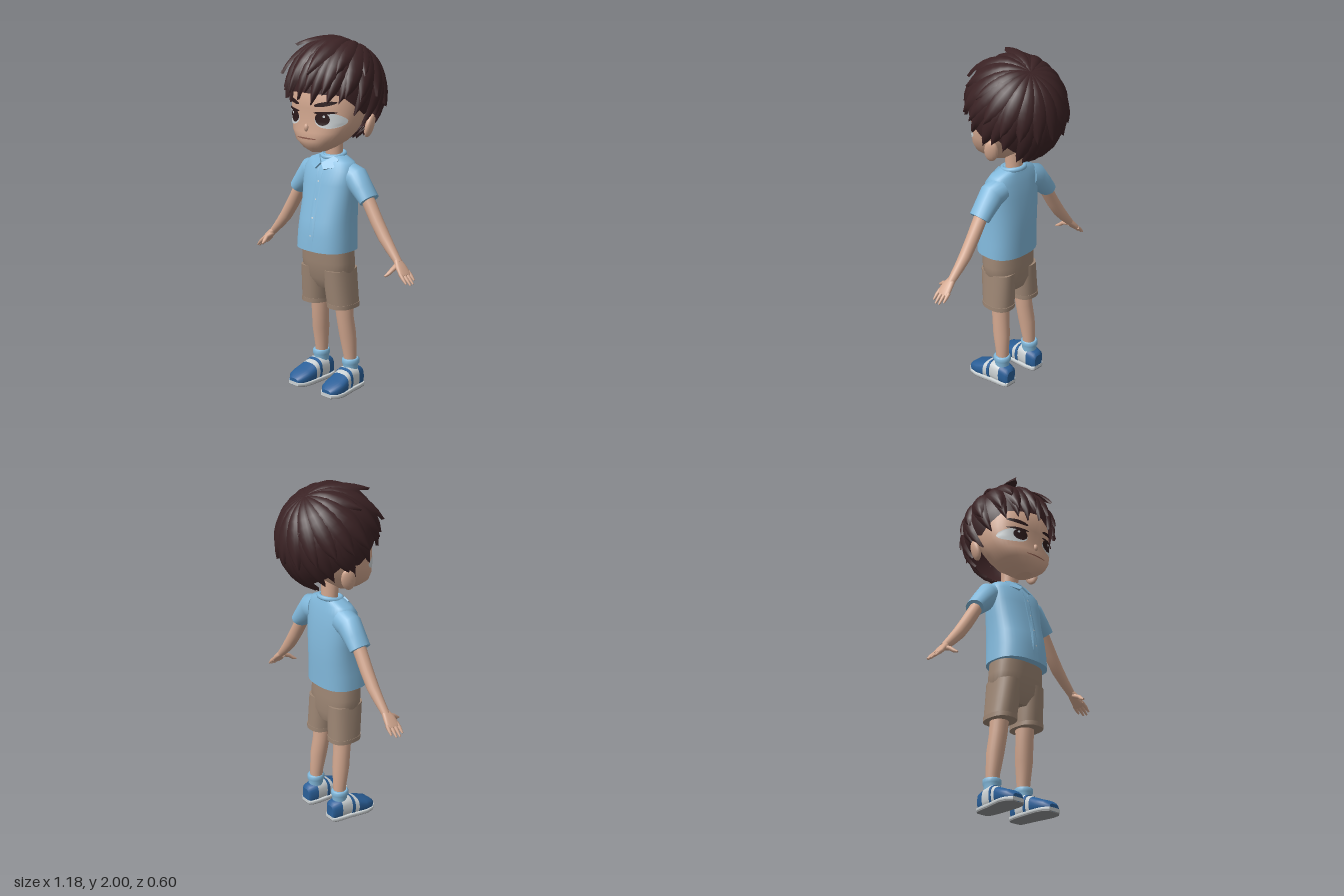
import * as THREE from 'three';

const mat = (name, color, side = THREE.FrontSide) => {
  const m = new THREE.MeshStandardMaterial({ color, side });
  m.name = name;
  return m;
};
const V = (x, y, z) => new THREE.Vector3(x, y, z);
const X = V(1, 0, 0), Y = V(0, 1, 0), Z = V(0, 0, 1);

function geometry(pos, idx) {
  const g = new THREE.BufferGeometry();
  g.setAttribute('position', new THREE.Float32BufferAttribute(pos, 3));
  g.setIndex(idx);
  g.computeVertexNormals();
  return g;
}

// Skin through rounded sections; row = [x, y, z, radius along ref, radius across]
function loft(rows, { dir = null, ref = Z, n = 2, seg = 20 } = {}) {
  const pos = [], idx = [], last = rows.length - 1;
  const pt = i => V(...rows[i].slice(0, 3));
  const sp = (c) => Math.sign(c) * Math.abs(c) ** (2 / n);
  const ring = i => {
    const d = dir ? dir.clone() : pt(Math.min(i + 1, last)).sub(pt(Math.max(i - 1, 0))).normalize();
    const u = ref.clone().addScaledVector(d, -ref.dot(d)).normalize();
    const v = d.clone().cross(u);
    for (let j = 0; j < seg; j++) {
      const a = j / seg * Math.PI * 2;
      pos.push(...pt(i).addScaledVector(u, sp(Math.cos(a)) * rows[i][3]).addScaledVector(v, sp(Math.sin(a)) * rows[i][4]));
    }
  };
  rows.forEach((_, i) => ring(i));
  for (let i = 0; i < last; i++) for (let j = 0; j < seg; j++) {
    const a = i * seg + j, b = i * seg + (j + 1) % seg;
    idx.push(a, b, b + seg, a, b + seg, a + seg);
  }
  for (const i of [0, last]) { // end caps
    const s = pos.length / 3;
    ring(i);
    pos.push(...pt(i));
    for (let j = 0; j < seg; j++) {
      const a = s + j, b = s + (j + 1) % seg;
      i ? idx.push(s + seg, a, b) : idx.push(s + seg, b, a);
    }
  }
  return geometry(pos, idx);
}

// Level section from half width, front z and back z
const level = ([y, hw, zf, zb], x = 0) => [x, y, (zf + zb) / 2, (zf - zb) / 2, hw];

// Front surface depth of an upright loft
function frontZ(rows, n, x, y) {
  let i = 0;
  while (i < rows.length - 2 && rows[i + 1][1] < y) i++;
  const t = (y - rows[i][1]) / (rows[i + 1][1] - rows[i][1]);
  const [, , c, rz, rx] = rows[i].map((a, k) => a + (rows[i + 1][k] - a) * t);
  return c + rz * Math.max(0, 1 - Math.min(1, Math.abs(x / rx)) ** n) ** (1 / n);
}

// Thin painted oval (or rounded box with a high power) lying on a loft's front
function patch(rows, n, cx, cy, hw, hh, tilt, off, power = 2) {
  const pos = [], idx = [], R = 6, S = 28;
  for (let r = 0; r <= R; r++) for (let j = 0; j < S; j++) {
    const a = j / S * Math.PI * 2, c = Math.cos(a), s = Math.sin(a);
    const px = Math.sign(c) * Math.abs(c) ** (2 / power) * hw * r / R, py = Math.sign(s) * Math.abs(s) ** (2 / power) * hh * r / R;
    const x = cx + px * Math.cos(tilt) - py * Math.sin(tilt), y = cy + px * Math.sin(tilt) + py * Math.cos(tilt);
    const z = frontZ(rows, n, x, y), e = 0.004;
    const nrm = V((frontZ(rows, n, x - e, y) - frontZ(rows, n, x + e, y)) / (2 * e), 0, 1).normalize();
    pos.push(...V(x, y, z).addScaledVector(nrm, off));
    if (r < R) {
      const p = r * S + j, q = r * S + (j + 1) % S;
      idx.push(p, p + S, q + S, p, q + S, q);
    }
  }
  return geometry(pos, idx);
}

// Hair volume: unit directions scaled onto an ellipsoid round the skull
const onHair = (d, r) => [d.x * 0.262 * r, 1.7 + d.y * 0.288 * r, -0.02 + d.z * 0.278 * r];
const hairDir = (deg, y) => {
  const a = deg * Math.PI / 180, h = Math.sqrt(1 - y * y);
  return V(Math.sin(a) * h, y, Math.cos(a) * h);
};
const crown = V(0.11, 0.87, -0.48).normalize();
const HAIRLINE = [[0, -0.05], [50, -0.08], [68, -0.3], [84, -0.5], [102, -0.35], [125, -0.68], [150, -0.86], [180, -0.92]];
function hairline(deg) {
  const d = Math.abs(((deg + 540) % 360) - 180);
  let i = 0;
  while (i < HAIRLINE.length - 2 && HAIRLINE[i + 1][0] < d) i++;
  const [a, p] = HAIRLINE[i], [b, q] = HAIRLINE[i + 1];
  return p + (q - p) * (d - a) / (b - a);
}

// One leaf-shaped lock swept from the crown to a pointed tip
function lock(deg, tipY, width, base, flare) {
  const tip = hairDir(deg, tipY), ang = crown.angleTo(tip), pos = [], idx = [], N = 10, M = 6;
  const axis = crown.clone().cross(tip).normalize();
  for (let i = 0; i <= N; i++) {
    const t = i / N, d = crown.clone().applyAxisAngle(axis, ang * t);
    const w = width * (1 - t ** 3) ** 0.8 * (0.12 + 0.88 * Math.min(1, t * 1.8));
    for (let j = 0; j <= M; j++) {
      const k = j / M * 2 - 1;
      const p = d.clone().addScaledVector(axis, k * w).normalize();
      pos.push(...onHair(p, base + 0.06 * (1 - k * k) * Math.min(1, t * 3) - 0.02 + flare * t ** 3));
      if (i < N && j < M) {
        const a = i * (M + 1) + j, b = a + M + 1;
        idx.push(a, b, b + 1, a, b + 1, a + 1);
      }
    }
  }
  return geometry(pos, idx);
}

function hairCap() {
  const pos = [], idx = [], S = 48, R = 12;
  for (let i = 0; i <= R; i++) for (let j = 0; j < S; j++) {
    const deg = j / S * 360, end = Math.acos(Math.min(0.9, hairline(deg) + 0.12));
    pos.push(...onHair(hairDir(deg, Math.cos(end * i / R)), 0.965));
    if (i < R) {
      const a = i * S + j, b = i * S + (j + 1) % S;
      idx.push(a, a + S, b + S, a, b + S, b);
    }
  }
  return geometry(pos, idx);
}

export function createModel() {
  const root = new THREE.Group();
  root.name = 'boy';
  const skin = mat('skin', 0xd2a78f), hair = mat('hair', 0x3a2224, THREE.DoubleSide), shirt = mat('shirt', 0x82b9dc);
  const tan = mat('shorts', 0x9d8674), blue = mat('shoeBlue', 0x2a5f98), white = mat('white', 0xccd2d4);
  const dark = mat('darkBrown', 0x2c1a1b), lip = mat('mouth', 0x8a5a4c), sole = mat('sole', 0x8f9193);
  const add = (name, geo, m) => {
    const mesh = new THREE.Mesh(geo, m);
    mesh.name = name;
    root.add(mesh);
    return mesh;
  };

  // Head and neck
  const FN = 2.3;
  const head = [[1.385, 0.035, 0.165, 0.06], [1.41, 0.085, 0.198, 0.01], [1.45, 0.145, 0.218, -0.04], [1.5, 0.185, 0.216, -0.08],
    [1.56, 0.21, 0.206, -0.12], [1.63, 0.217, 0.21, -0.17], [1.72, 0.215, 0.21, -0.21], [1.82, 0.18, 0.16, -0.2], [1.89, 0.1, 0.08, -0.12]].map(r => level(r));
  add('head', loft(head, { dir: Y, n: FN, seg: 44 }), skin);
  add('neck', loft([[0, 1.3, -0.005, 0.05, 0.055], [0, 1.36, -0.005, 0.045, 0.05], [0, 1.46, 0, 0.05, 0.055]]), skin);
  const nose = add('nose', new THREE.SphereGeometry(1, 12, 8), skin);
  nose.scale.set(0.014, 0.022, 0.014);
  nose.position.set(0, 1.525, 0.212);
  add('mouth', patch(head, FN, 0, 1.468, 0.07, 0.004, 0, 0.003), lip);

  // Shirt body, placket and buttons
  const TN = 2.5;
  const torso = [[0.83, 0.172, 0.195, -0.09], [0.92, 0.168, 0.19, -0.092], [1.0, 0.164, 0.178, -0.095], [1.1, 0.165, 0.15, -0.094],
    [1.2, 0.172, 0.13, -0.085], [1.28, 0.172, 0.108, -0.074], [1.325, 0.145, 0.08, -0.06], [1.355, 0.065, 0.05, -0.052]].map(r => level(r));
  add('shirt', loft(torso, { dir: Y, n: TN, seg: 40 }), shirt);
  add('placket', patch(torso, TN, 0.008, 1.07, 0.02, 0.235, 0, 0.006, 12), shirt);
  for (let i = 0; i < 4; i++) add('button', patch(torso, TN, 0.01, 0.92 + i * 0.1, 0.005, 0.005, 0, 0.009), white);
  const band = add('collarBand', new THREE.TorusGeometry(0.062, 0.014, 8, 24), shirt);
  band.rotation.x = Math.PI / 2 + 0.15;
  band.position.set(0, 1.35, 0);

  // Shorts seat
  add('shortsSeat', loft([[0.6, 0.085, 0.1, -0.05], [0.66, 0.16, 0.135, -0.066], [0.76, 0.163, 0.15, -0.066], [0.88, 0.155, 0.155, -0.06]].map(r => level(r)),
    { dir: Y, n: 2.5, seg: 32 }), tan);

  for (const s of [1, -1]) {
    const limb = (name, rows, m, opt) => add(name, loft(rows.map(([x, ...r]) => [x * s, ...r]), opt), m);
    // Face details
    const face = (name, m, x, y, w, h, tilt, off) => add(name, patch(head, FN, x * s, y, w, h, tilt * s, off), m);
    face('eyeWhite', white, 0.129, 1.572, 0.073, 0.042, 0, 0.003);
    face('iris', dark, 0.1, 1.58, 0.04, 0.035, 0, 0.005);
    face('eyeGlint', white, 0.112, 1.594, 0.007, 0.007, 0, 0.007);
    face('upperLash', dark, 0.112, 1.614, 0.06, 0.007, 0.06, 0.006);
    face('eyebrow', dark, 0.112, 1.66, 0.058, 0.012, 0.2, 0.005);
    const ear = add('ear', new THREE.SphereGeometry(1, 16, 12), skin);
    ear.scale.set(0.022, 0.066, 0.04);
    ear.position.set(0.222 * s, 1.53, -0.05);
    ear.rotation.set(-0.2, 0.35 * s, -0.15 * s);

    // Collar flap
    const flap = new THREE.Shape([[0, -0.012], [0.03, -0.045], [0.085, -0.02], [0.092, 0.035], [0.055, 0.045]].map(([x, y]) => new THREE.Vector2(x * s, y)));
    const collar = add('collarFlap', new THREE.ExtrudeGeometry(flap, { depth: 0.01, bevelEnabled: false }), shirt);
    collar.position.set(0, 1.32, 0.088);
    collar.rotation.set(-0.65, 0.25 * s, 0);

    // Sleeve and arm
    limb('sleeve', [[0.11, 1.25, 0, 0.07, 0.075], [0.17, 1.235, 0, 0.07, 0.075], [0.22, 1.182, 0, 0.066, 0.06], [0.268, 1.13, 0, 0.064, 0.048]], shirt);
    limb('arm', [[0.24, 1.16, 0, 0.04, 0.036], [0.325, 1.02, 0, 0.036, 0.037], [0.38, 0.94, 0, 0.034, 0.035], [0.43, 0.882, 0.002, 0.028, 0.029], [0.487, 0.822, 0.005, 0.023, 0.02]], skin);
    limb('palm', [[0.475, 0.834, 0.005, 0.022, 0.018], [0.505, 0.805, 0.01, 0.036, 0.017], [0.535, 0.772, 0.012, 0.042, 0.014], [0.545, 0.762, 0.012, 0.04, 0.011]], skin, { n: 2.4 });
    for (let i = 0; i < 4; i++) {
      const z = 0.044 - i * 0.022, far = [0.578, 0.588, 0.586, 0.572][i], fall = (far - 0.53) * 0.95;
      limb('finger', [[0.53, 0.777, z, 0.011, 0.011], [(0.53 + far) / 2, 0.777 - fall / 2, z * 1.08, 0.01, 0.01], [far, 0.775 - fall, z * 1.1, 0.005, 0.005]], skin, { seg: 10 });
    }
    limb('thumb', [[0.488, 0.812, 0.018, 0.018, 0.014], [0.49, 0.795, 0.06, 0.014, 0.012], [0.482, 0.775, 0.085, 0.011, 0.01], [0.476, 0.765, 0.106, 0.005, 0.005]], skin, { ref: X, seg: 12 });

    // Shorts leg, leg and sock
    limb('shortsLeg', [[0.505, 0.078, 0.118, -0.068], [0.6, 0.078, 0.13, -0.067], [0.72, 0.076, 0.143, -0.066]].map((r, i) => level(r, 0.098 - i * 0.007)), tan, { dir: Y, n: 2.4, seg: 28 });
    limb('shortsHem', [[0.497, 0.079, 0.121, -0.071], [0.522, 0.079, 0.122, -0.071]].map(r => level(r, 0.098)), tan, { dir: Y, n: 2.4, seg: 28 });
    limb('leg', [[0.112, 0.12, -0.018, 0.036, 0.036], [0.112, 0.2, -0.016, 0.038, 0.038], [0.106, 0.32, -0.004, 0.05, 0.048], [0.097, 0.43, 0.01, 0.05, 0.05], [0.094, 0.54, 0.018, 0.055, 0.053]], skin, { dir: Y });
    limb('sock', [[0.116, 0.1, -0.018, 0.045, 0.042], [0.116, 0.14, -0.018, 0.045, 0.042], [0.116, 0.15, -0.018, 0.052, 0.049], [0.116, 0.172, -0.018, 0.052, 0.049], [0.116, 0.178, -0.018, 0.044, 0.042]], shirt, { dir: Y });

    // Shoe: blue heel, white middle, blue toe, strap and sole; [x, z, half width, height]
    const shoe = [[0.118, -0.092, 0.03, 0.09], [0.118, -0.08, 0.045, 0.11], [0.118, -0.035, 0.054, 0.122], [0.12, 0.02, 0.058, 0.13],
      [0.125, 0.075, 0.064, 0.105], [0.129, 0.125, 0.068, 0.083], [0.13, 0.17, 0.06, 0.066], [0.13, 0.198, 0.034, 0.042]];
    const along = { dir: Z, ref: X, n: 2.7, seg: 24 };
    const upper = shoe.map(([x, z, w, h]) => [x, 0.008 + h / 2 - 0.004, z, w, h / 2]);
    limb('shoeHeel', upper.slice(0, 3), blue, along);
    limb('shoeMiddle', upper.slice(2, 5), white, along);
    limb('shoeToe', upper.slice(4), blue, along);
    limb('shoeStrap', [[0.121, 0.066, 0.03, 0.062, 0.064], [0.122, 0.063, 0.048, 0.064, 0.06]], blue, along);
    limb('shoeEdge', shoe.map(([x, z, w]) => [x, 0.016, z * 1.01, w + 0.005, 0.01]), white, { ...along, n: 6 });
    limb('shoeSole', shoe.map(([x, z, w]) => [x, 0.004, z, w + 0.002, 0.004]), sole, { ...along, n: 6 });
  }

  // Hair: cap, hairline locks, then shorter overlapping locks
  add('hairCap', hairCap(), hair);
  let seed = 7;
  const rnd = () => (seed = (seed * 16807) % 2147483647) / 2147483647 - 0.5;
  for (let i = 0; i < 22; i++) {
    const deg = i * 360 / 22 + rnd() * 6;
    add('hairlineLock', lock(deg, Math.max(-0.95, hairline(deg) - 0.06 + rnd() * 0.1), 0.24, 0.985, 0.01), hair);
  }
  for (let i = 0; i < 17; i++) {
    const deg = i * 360 / 17 + 9 + rnd() * 8;
    add('middleLock', lock(deg, hairline(deg) * 0.5 + 0.12 + rnd() * 0.15, 0.27, 1.0, 0.035), hair);
  }
  // Tufts that stand away from the head: [angle, tip height, width, flare]
  for (const [deg, y, w, f] of [[14, 0.36, 0.24, 0.16], [-40, 0.3, 0.24, 0.14], [-32, 0.74, 0.22, 0.2], [-75, 0.62, 0.22, 0.07],
    [45, 0.4, 0.24, 0.05], [80, 0.35, 0.25, 0.03], [-12, 0.05, 0.2, 0.09]]) add('tuft', lock(deg, y, w, 1.0, f), hair);
  return root;
}
